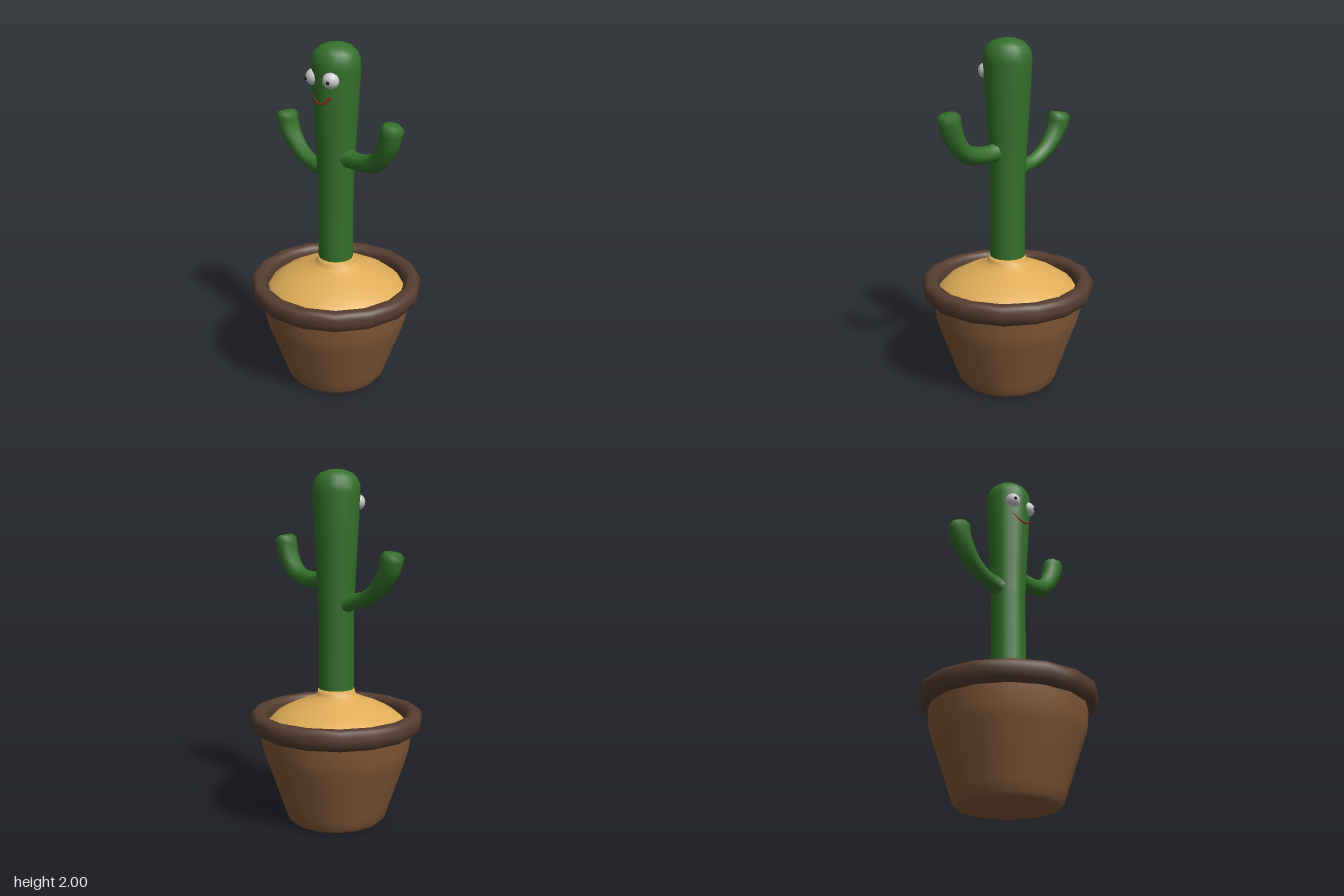
import * as THREE from 'three';
import { mergeVertices } from 'three/addons/utils/BufferGeometryUtils.js';

const material = (color) => new THREE.MeshStandardMaterial({ color, side: THREE.DoubleSide });
const GREEN = material(0x34702a);
const POT = material(0x835938);
const RIM = material(0x553d30);
const SAND = material(0xdfad58);
const WHITE = material(0xcccccc);
const BLACK = material(0x080808);
const RED = material(0xb01818);

function add(parent, name, geometry, mat) {
  const mesh = new THREE.Mesh(geometry, mat);
  mesh.name = name;
  parent.add(mesh);
  return mesh;
}

// Surface of revolution from [radius, height] pairs, bottom to top
const lathe = (points, sides) =>
  new THREE.LatheGeometry(points.map(([r, y]) => new THREE.Vector2(r, y)), sides);

// Eight-sided limb in the xy plane; each point is [x, y, radius]
function limb(points, sides = 8) {
  const curve = new THREE.CatmullRomCurve3(points.map(([x, y]) => new THREE.Vector3(x, y, 0)));
  const rings = (points.length - 1) * 2;
  const geo = new THREE.PlaneGeometry(1, 1, sides, rings + 2);
  const pos = geo.attributes.position;
  for (let j = 0; j <= rings + 2; j++) {
    const t = Math.min(j / rings, 1);
    const p = curve.getPoint(t);
    const d = curve.getTangent(t);
    const k = Math.min(Math.floor(t * (points.length - 1)), points.length - 2);
    let r = THREE.MathUtils.lerp(points[k][2], points[k + 1][2], t * (points.length - 1) - k);
    // Rounded shoulder and closed tip
    if (j > rings) {
      r *= j === rings + 1 ? 0.72 : 0;
      p.addScaledVector(d, j === rings + 1 ? 0.018 : 0.022);
    }
    for (let i = 0; i <= sides; i++) {
      const a = ((i % sides) / sides) * Math.PI * 2;
      const c = Math.cos(a) * r;
      pos.setXYZ(j * (sides + 1) + i, p.x - d.y * c, p.y + d.x * c, Math.sin(a) * r);
    }
  }
  geo.deleteAttribute('uv');
  geo.deleteAttribute('normal');
  const merged = mergeVertices(geo);
  merged.computeVertexNormals();
  return merged;
}

export function createModel() {
  const model = new THREE.Group();
  model.name = 'pottedCactus';

  // Pot, rim and sand
  add(model, 'pot', lathe([[0, 0], [0.24, 0], [0.27, 0.008], [0.29, 0.03], [0.31, 0.085],
    [0.36, 0.235], [0.408, 0.37], [0.428, 0.44], [0.438, 0.54]], 16), POT);
  add(model, 'rim', lathe([[0.4, 0.535], [0.46, 0.535], [0.483, 0.55], [0.495, 0.585],
    [0.495, 0.62], [0.485, 0.642], [0.465, 0.651], [0.435, 0.651], [0.415, 0.64],
    [0.402, 0.615], [0.4, 0.535]], 16), RIM);
  add(model, 'sand', lathe([[0.402, 0.58], [0.365, 0.618], [0.31, 0.652], [0.24, 0.686],
    [0.17, 0.712], [0.125, 0.732], [0.108, 0.752], [0.104, 0.775], [0, 0.775]], 16), SAND);

  // Trunk widens into a domed head
  add(model, 'trunk', lathe([[0.1, 0.72], [0.1, 1.23], [0.113, 1.48], [0.125, 1.7],
    [0.134, 1.87], [0.131, 1.915], [0.115, 1.953], [0.086, 1.98], [0.047, 1.995], [0, 2]], 16), GREEN);

  // Arms
  add(model, 'leftArm', limb([[0.07, 1.39, 0.062], [0.12, 1.383, 0.051], [0.21, 1.385, 0.05],
    [0.295, 1.408, 0.052], [0.355, 1.47, 0.055], [0.39, 1.545, 0.06], [0.405, 1.615, 0.063]]), GREEN);
  add(model, 'rightArm', limb([[-0.07, 1.27, 0.064], [-0.12, 1.28, 0.045], [-0.2, 1.297, 0.043],
    [-0.285, 1.345, 0.048], [-0.35, 1.415, 0.055], [-0.388, 1.48, 0.061], [-0.4, 1.54, 0.064]]), GREEN);

  // Eyes with pupils looking slightly outward
  for (const [side, name] of [[1, 'left'], [-1, 'right']]) {
    const eye = new THREE.Group();
    eye.name = name + 'Eye';
    eye.position.set(side * 0.065, 1.822, 0.1);
    model.add(eye);
    add(eye, 'eyeball', new THREE.SphereGeometry(0.045, 20, 14), WHITE);
    const pupil = add(eye, 'pupil', new THREE.SphereGeometry(0.01, 12, 8), BLACK);
    pupil.position.set(side * 0.016, -0.005, 0.039);
  }

  // Smile wrapped round the face
  const smile = [];
  for (let i = 0; i <= 10; i++) {
    const s = i / 5 - 1;
    const x = s * 0.068;
    const r = 0.124;
    smile.push(new THREE.Vector3(x + 0.004, 1.692 + 0.042 * s * s, Math.sqrt(r * r - x * x) + 0.001));
  }
  add(model, 'smile', new THREE.TubeGeometry(new THREE.CatmullRomCurve3(smile), 30, 0.005, 6), RED);

  return model;
}
